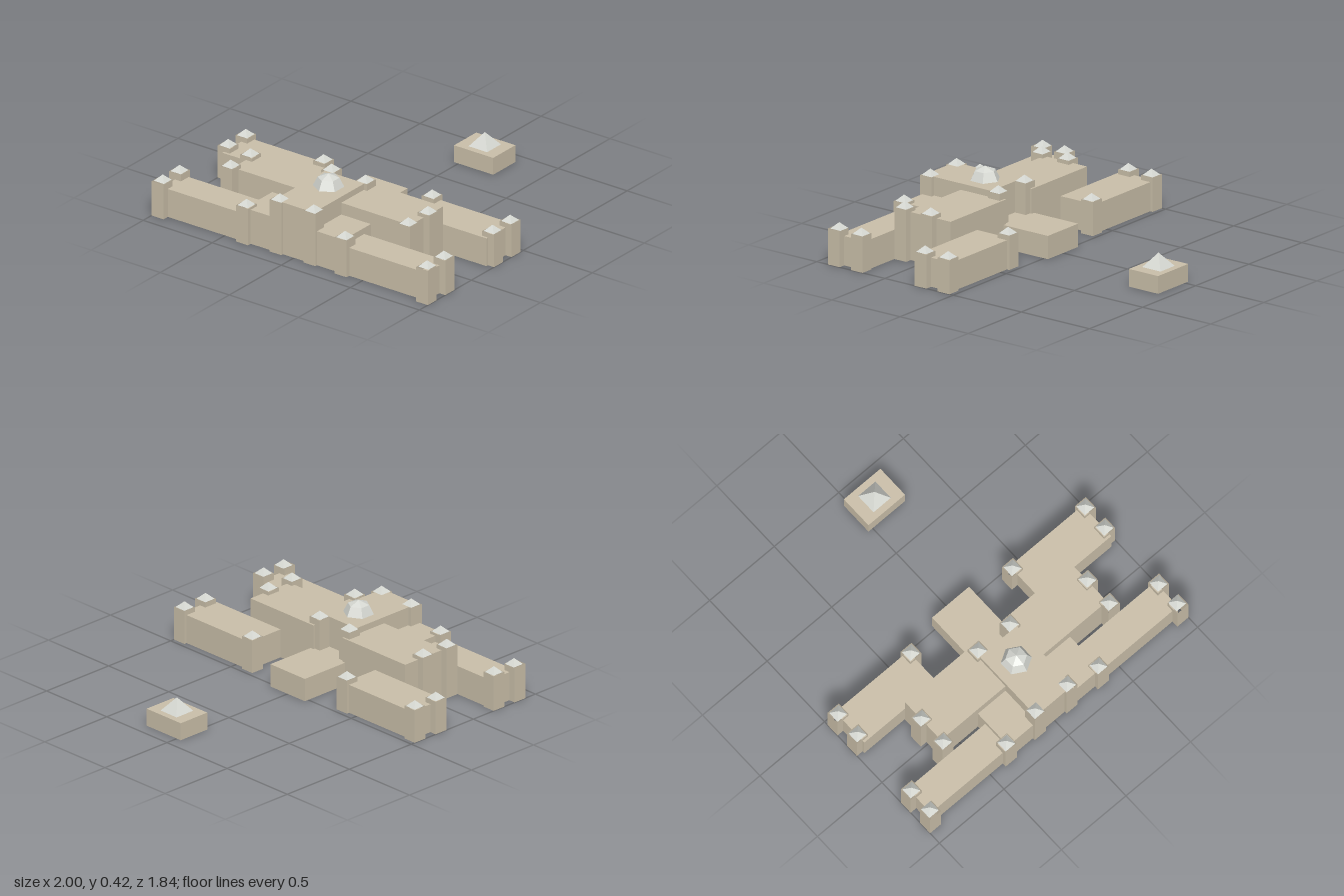
import * as THREE from 'three';

export function createModel() {
  const model = new THREE.Group();
  model.name = 'palace';
  const stone = new THREE.MeshStandardMaterial({ color: 0xcabfa9, flatShading: true, side: THREE.DoubleSide });
  stone.name = 'sandstone';
  const lead = new THREE.MeshStandardMaterial({ color: 0xd6d8d2, flatShading: true, side: THREE.DoubleSide });
  lead.name = 'pale roof';

  const add = (name, geometry, material, x, y, z) => {
    const mesh = new THREE.Mesh(geometry, material);
    mesh.name = name;
    mesh.position.set(x, y, z);
    model.add(mesh);
    return mesh;
  };

  // Hollow block with a flat roof and no floor
  const block = (name, x0, x1, z0, z1, h) => {
    const g = new THREE.BoxGeometry(x1 - x0, h, z1 - z0);
    const index = Array.from(g.index.array);
    index.splice(18, 6); // drop the underside
    g.setIndex(index);
    g.clearGroups();
    add(name, g, stone, (x0 + x1) / 2, h / 2, (z0 + z1) / 2);
  };

  // Four-sided pointed roof
  const pyramid = (name, x, y, z, half, h) => {
    const g = new THREE.ConeGeometry(half * Math.SQRT2, h, 4, 1, true);
    g.rotateY(Math.PI / 4);
    add(name, g, lead, x, y + h / 2, z);
  };

  // Square open shaft with a slightly smaller pointed cap
  const tower = (name, x, z, h, capZ = z) => {
    const r = 0.043 * Math.SQRT2;
    const g = new THREE.CylinderGeometry(r, r, h, 4, 1, true);
    g.rotateY(Math.PI / 4);
    add(name, g, stone, x, h / 2, z);
    pyramid(name + 'Cap', x, h, capZ, 0.037, 0.037);
  };

  // Central blocks
  block('centralHall', -0.143, 0.143, 0.388, 0.877, 0.332);
  block('rearHall', -0.143, 0.143, -0.027, 0.388, 0.142);
  block('frontRange', -0.357, 0.357, 0.612, 0.877, 0.218);

  // Mirrored wings and towers
  for (const s of [-1, 1]) {
    const side = s > 0 ? 'left' : 'right';
    const wing = (name, a, b, z0, z1, h) =>
      block(side + name, Math.min(s * a, s * b), Math.max(s * a, s * b), z0, z1, h);
    wing('MiddleWing', 0.12, 0.643, 0.297, 0.612, 0.293);
    wing('FrontWing', 0.357, 0.957, 0.676, 0.877, 0.179);
    wing('BackWing', 0.393, 0.957, 0.045, 0.297, 0.178);

    tower(side + 'FrontWingFrontTower', s * 0.957, 0.876, 0.22, 0.869);
    tower(side + 'FrontWingRearTower', s * 0.957, 0.707, 0.22);
    tower(side + 'FrontRangeTower', s * 0.357, 0.86, 0.233);
    tower(side + 'HallFrontTower', s * 0.123, 0.85, 0.332);
    tower(side + 'HallRearTower', s * 0.123, 0.352, 0.332);
    tower(side + 'MiddleWingFrontTower', s * 0.643, 0.632, 0.315);
    tower(side + 'MiddleWingRearTower', s * 0.643, 0.442, 0.315);
    tower(side + 'BackWingFrontTower', s * 0.957, 0.239, 0.207);
    tower(side + 'BackWingRearTower', s * 0.957, 0.07, 0.207);
    tower(side + 'BackWingInnerTower', s * 0.393, 0.07, 0.207);
  }

  // Six-sided dome
  const profile = [[0.092, 0], [0.064, 0.056], [0, 0.081]].map(([r, y]) => new THREE.Vector2(r, y));
  add('dome', new THREE.LatheGeometry(profile, 6), lead, 0, 0.335, 0.545);

  // Detached gatehouse at the back
  block('gatehouse', -0.032, 0.251, -0.92, -0.706, 0.108);
  pyramid('gatehouseRoof', 0.11, 0.108, -0.813, 0.067, 0.085);

  return model;
}
